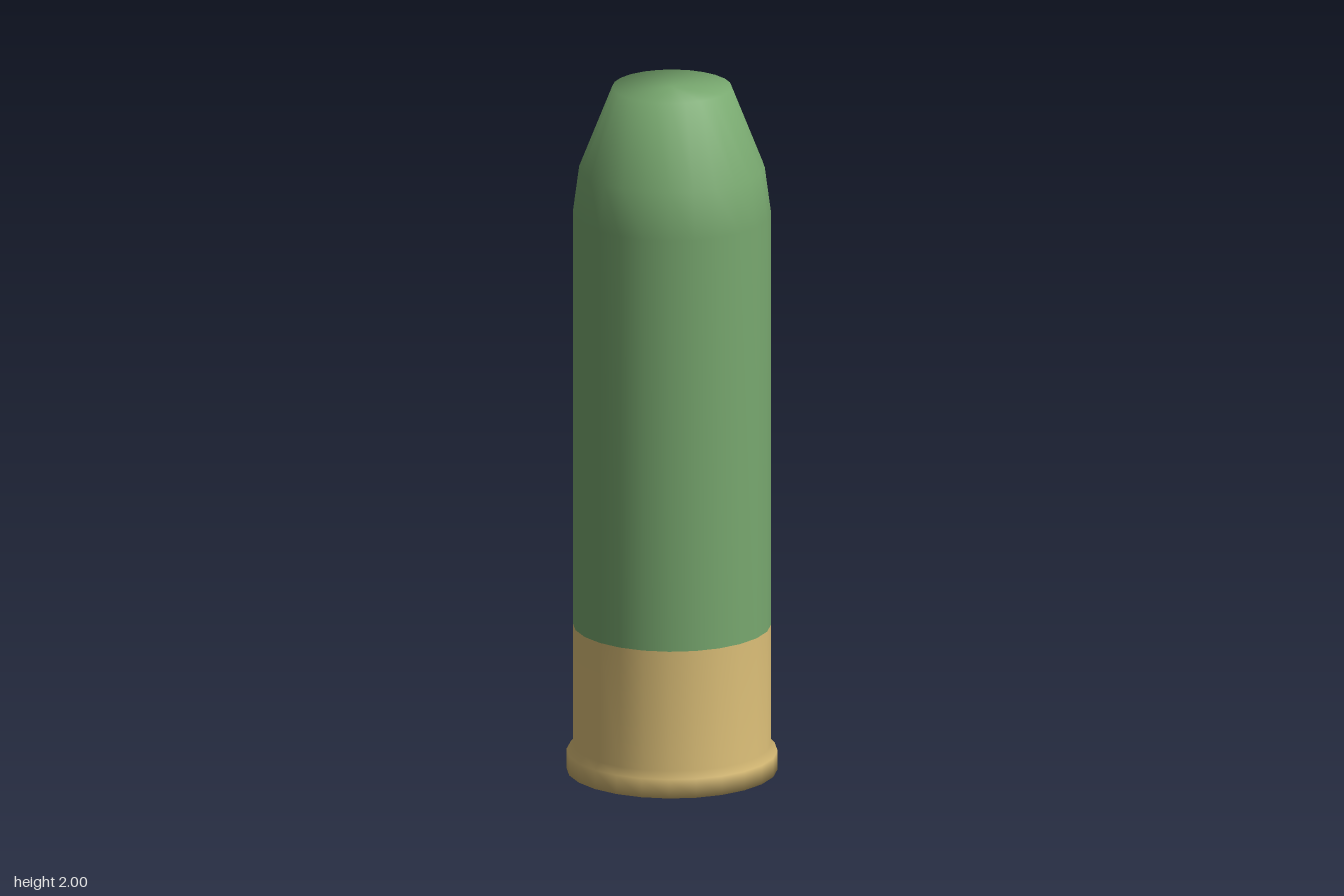
import * as THREE from 'three';

const SIDES = 24;

// Smooth turned part from [radius, height] pairs, listed bottom to top
function turned(name, profile, material) {
  const points = profile.map(([r, y]) => new THREE.Vector2(r, y));
  const mesh = new THREE.Mesh(new THREE.LatheGeometry(points, SIDES), material);
  mesh.name = name;
  return mesh;
}

export function createModel() {
  const brass = new THREE.MeshStandardMaterial({ color: 0xdcbf78 });
  brass.name = 'brass';
  const green = new THREE.MeshStandardMaterial({ color: 0x78a86f });
  green.name = 'green hull';

  const model = new THREE.Group();
  model.name = 'cartridge';

  // Brass base with its closed bottom and flared rim
  model.add(turned('brassBase', [
    [0, 0], [0.297, 0], [0.297, 0.055], [0.279, 0.075], [0.279, 0.425],
  ], brass));

  // Green hull, shoulder and flat closed tip
  model.add(turned('hull', [
    [0.279, 0.425], [0.279, 1.63], [0.261, 1.765], [0.168, 2], [0, 2],
  ], green));

  return model;
}
